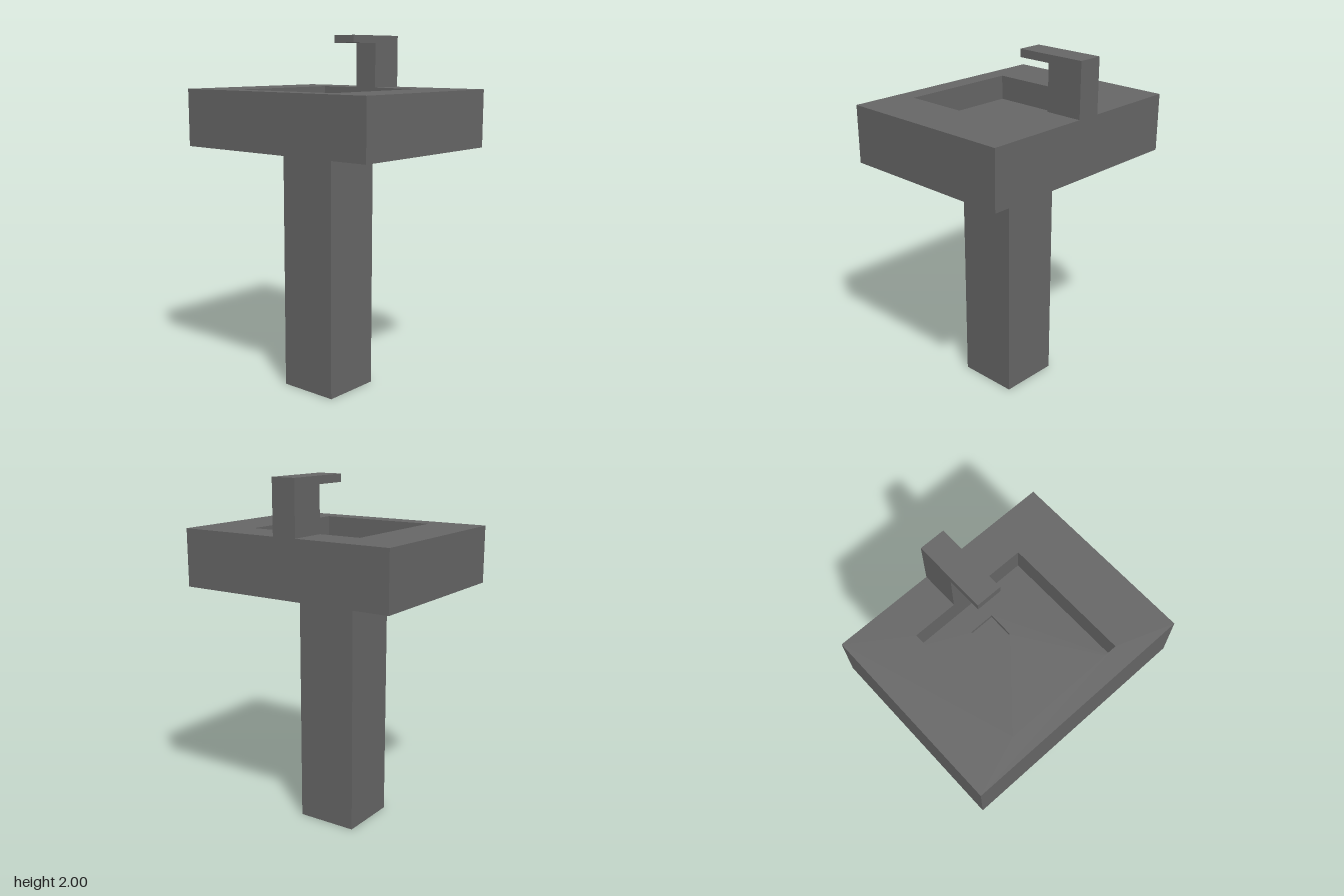
import * as THREE from 'three';

const material = new THREE.MeshStandardMaterial({ color: 0x666666, flatShading: true });

// Closed shell through a run of rectangular rings [x0, x1, z0, z1, y], capped at both ends.
function ringShell(rings) {
  const positions = [];
  const quad = (a, b, c, d) => positions.push(...a, ...b, ...c, ...a, ...c, ...d);
  const loops = rings.map(([x0, x1, z0, z1, y]) => [[x0, y, z1], [x1, y, z1], [x1, y, z0], [x0, y, z0]]);
  for (let i = 0; i < loops.length - 1; i++) {
    for (let j = 0; j < 4; j++) {
      const k = (j + 1) % 4;
      quad(loops[i][j], loops[i][k], loops[i + 1][k], loops[i + 1][j]);
    }
  }
  quad(...[...loops[0]].reverse());
  quad(...loops[loops.length - 1]);
  const geometry = new THREE.BufferGeometry();
  geometry.setAttribute('position', new THREE.Float32BufferAttribute(positions, 3));
  geometry.computeVertexNormals();
  return geometry;
}

export function createModel() {
  const group = new THREE.Group();
  const add = (name, geometry, x = 0, y = 0, z = 0) => {
    const mesh = new THREE.Mesh(geometry, material);
    mesh.name = name;
    mesh.position.set(x, y, z);
    group.add(mesh);
  };

  // Square column, slightly off centre
  const columnHeight = 1.385;
  add('pedestal', new THREE.BoxGeometry(0.353, columnHeight, 0.353), -0.014, columnHeight / 2, 0.04);

  // Basin block: outer walls, rim, recessed bowl and square drain in one shell
  const rimY = 1.705, floorY = 1.565, drainY = 1.545;
  add('basin', ringShell([
    [-0.64, 0.64, -0.51, 0.51, columnHeight],
    [-0.64, 0.64, -0.51, 0.51, rimY],
    [-0.34, 0.34, -0.30, 0.40, rimY],
    [-0.34, 0.34, -0.30, 0.40, floorY],
    [-0.095, 0.045, -0.18, -0.04, floorY],
    [-0.095, 0.045, -0.18, -0.04, drainY],
  ]));

  // Tap: side profile (u = -z, v = y) extruded across its width
  const profile = new THREE.Shape([
    [0.30, rimY], [0.51, rimY], [0.51, 2], [0.107, 2], [0.107, 1.957], [0.30, 1.957],
  ].map(([u, v]) => new THREE.Vector2(u, v)));
  const tap = new THREE.ExtrudeGeometry(profile, { depth: 0.14, bevelEnabled: false });
  tap.rotateY(Math.PI / 2);
  add('tap', tap, -0.095);

  return group;
}
